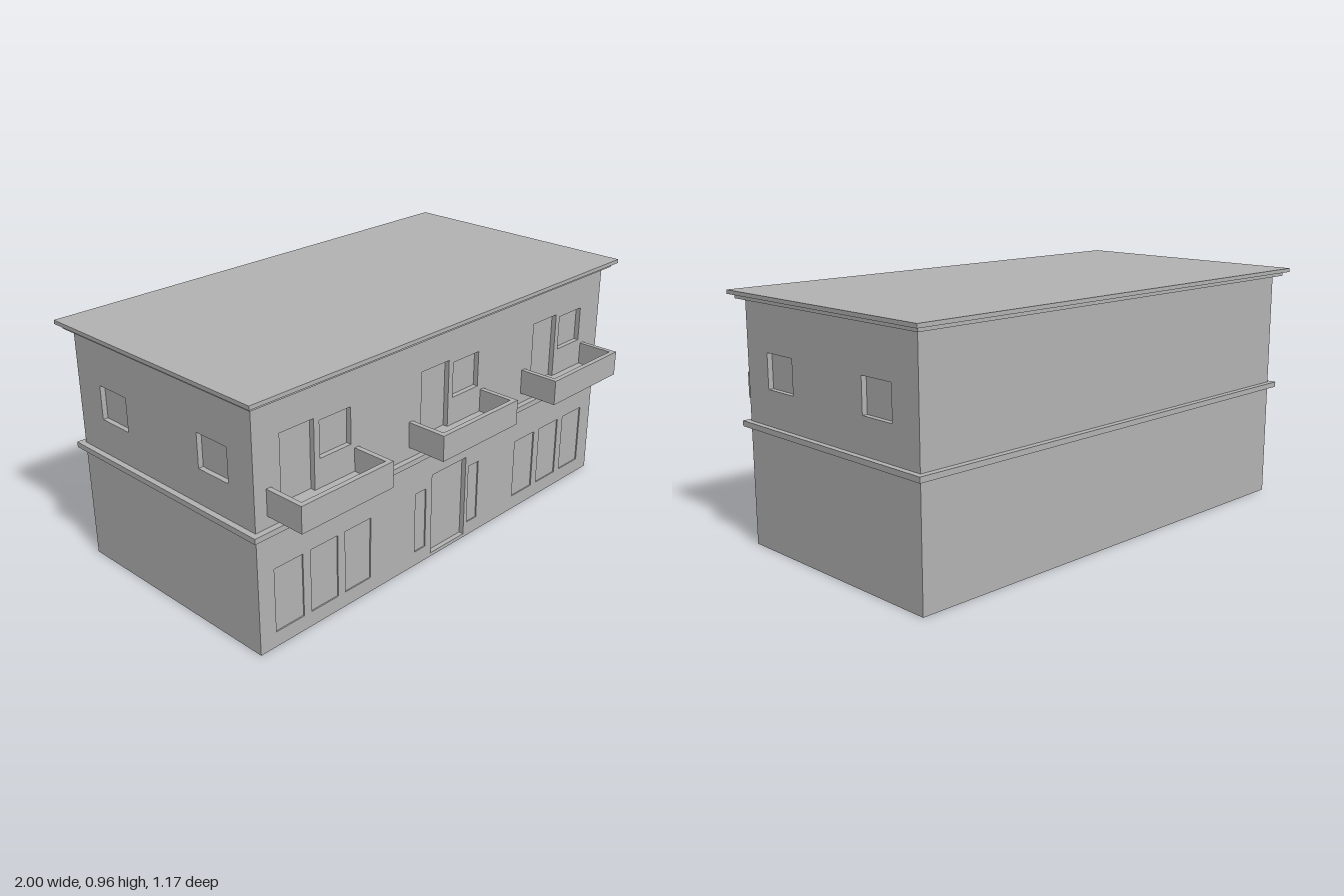
import * as THREE from 'three';

const plaster = new THREE.MeshStandardMaterial({ color: 0xb2b2b2 });
plaster.name = 'grey plaster';

// Wall extents and depth of the window recesses
const X0 = -0.957, X1 = 0.955, Z0 = -0.533, Z1 = 0.422, TOP = 0.93, D = 0.02;

export function createModel() {
  const model = new THREE.Group();
  model.name = 'house';

  const add = (parent, name, geometry) => {
    const mesh = new THREE.Mesh(geometry, plaster);
    mesh.name = name;
    parent.add(mesh);
    return mesh;
  };
  // Box given by its limits on each axis
  const box = (parent, name, x0, x1, y0, y1, z0, z1) =>
    add(parent, name, new THREE.BoxGeometry(x1 - x0, y1 - y0, z1 - z0)
      .translate((x0 + x1) / 2, (y0 + y1) / 2, (z0 + z1) / 2));

  const path = (p, [a, b, c, d]) => {
    p.moveTo(a, c);
    p.lineTo(b, c);
    p.lineTo(b, d);
    p.lineTo(a, d);
    p.closePath();
    return p;
  };
  // Wall skin with rectangular openings [left, right, bottom, top]
  const wall = (name, a, b, openings) => {
    const shape = path(new THREE.Shape(), [a, b, 0, TOP]);
    for (const o of openings) shape.holes.push(path(new THREE.Path(), o));
    return add(model, name, new THREE.ExtrudeGeometry(shape, { depth: D, bevelEnabled: false }));
  };

  // Solid core, whose faces close the backs of the recesses
  box(model, 'core', X0 + D, X1 - D, 0, TOP, Z0, Z1 - D);

  // Front wall: balcony doors, upper windows, entrance and ground floor windows
  const balconyStarts = [-0.905, -0.225, 0.438];
  const deep = [[-0.09, 0.108, 0.015, 0.355]];
  for (const x of balconyStarts) {
    deep.push([x + 0.063, x + 0.213, 0.53, 0.795]);
    deep.push([x + 0.238, x + 0.384, 0.64, 0.78]);
  }
  const shallow = [];
  for (const x of [-0.885, -0.719, -0.553, 0.42, 0.586, 0.752]) shallow.push([x, x + 0.13, 0.06, 0.31]);
  for (const x of [-0.183, 0.126]) shallow.push([x, x + 0.06, 0.06, 0.31]);
  wall('frontWall', X0, X1, [...deep, ...shallow]).position.z = Z1 - D;

  // Ground floor panes sit almost flush with the wall
  for (const [a, b, c, d] of shallow) {
    box(model, 'groundWindowPane', a, b, c, d, Z1 - 0.013, Z1 - 0.005);
  }

  // Side walls, mirrored, with two windows each
  const sideWindows = [[0.145, 0.297, 0.612, 0.745], [-0.4, -0.247, 0.612, 0.745]];
  const flipped = sideWindows.map(([a, b, c, d]) => [-b, -a, c, d]);
  const leftWall = wall('leftWall', -(Z1 - D), -Z0, flipped);
  leftWall.rotation.y = Math.PI / 2;
  leftWall.position.x = X1 - D;
  const rightWall = wall('rightWall', Z0, Z1 - D, sideWindows);
  rightWall.rotation.y = -Math.PI / 2;
  rightWall.position.x = X0 + D;

  // Ledge between floors and the stepped flat roof
  box(model, 'ledge', -0.98, 0.977, 0.455, 0.476, -0.557, 0.445);
  box(model, 'roofCornice', -0.982, 0.98, 0.926, 0.942, -0.564, 0.451);
  box(model, 'roofSlab', -1, 1, 0.942, 0.957, -0.585, 0.47);

  // Balconies: floor, front parapet and two side parapets
  for (const x of balconyStarts) {
    const balcony = new THREE.Group();
    balcony.name = 'balcony';
    const w = 0.422, t = 0.02, y0 = 0.52, y1 = 0.62, zf = 0.585;
    box(balcony, 'balconyFloor', x + t, x + w - t, y0, y0 + 0.01, Z1, zf - t);
    box(balcony, 'balconyFront', x, x + w, y0, y1, zf - t, zf);
    for (const s of [x, x + w - t]) box(balcony, 'balconySide', s, s + t, y0, y1, Z1, zf - t);
    model.add(balcony);
  }
  return model;
}
